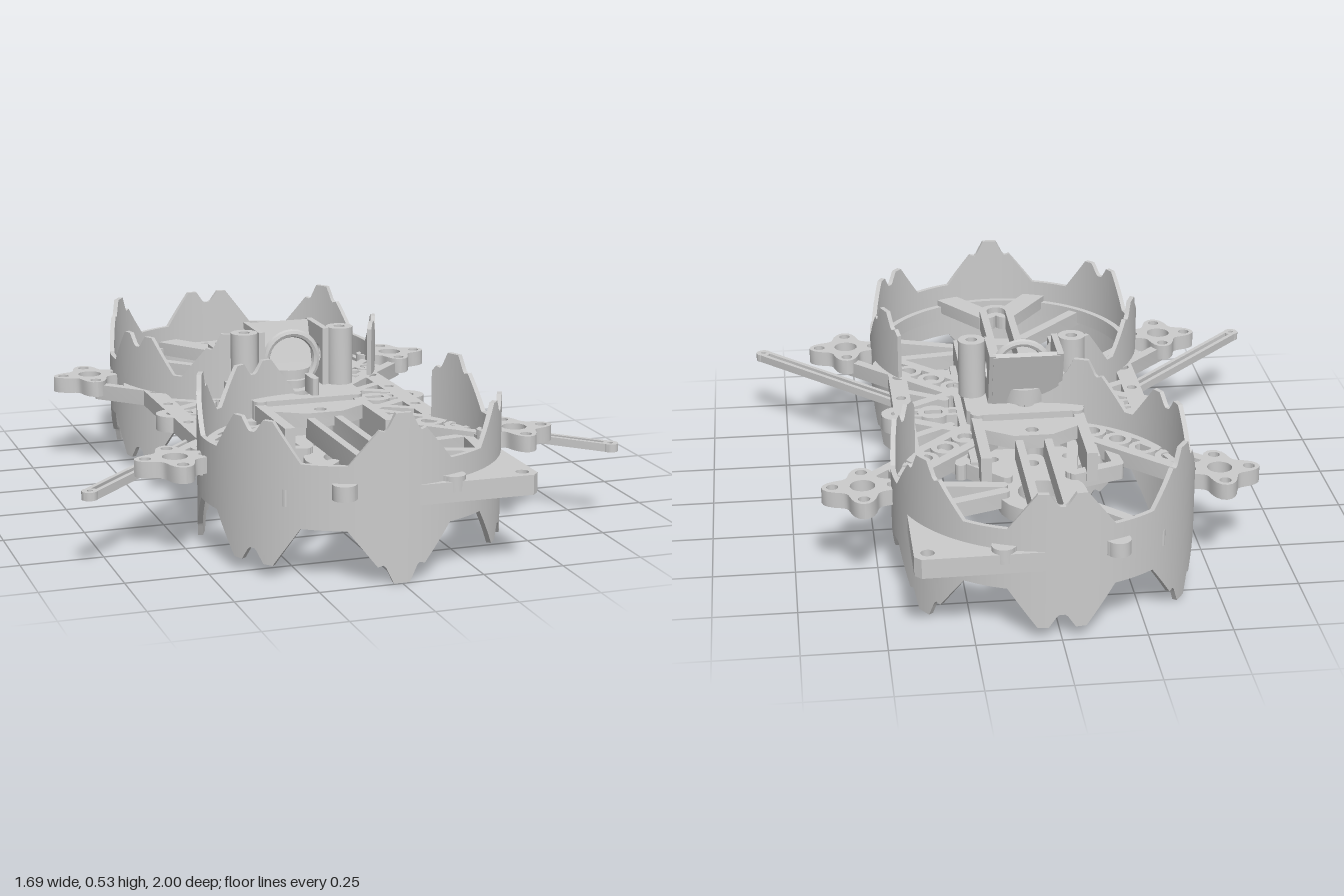
import * as THREE from 'three';
import { toCreasedNormals } from 'three/addons/utils/BufferGeometryUtils.js';

const grey = new THREE.MeshStandardMaterial({ color: 0xcccccc, side: THREE.DoubleSide });
const SIDES = [1, -1];
const RING_Z = 0.54, RING_R = 0.455;

export function createModel() {
  const model = new THREE.Group();

  const add = (name, geo) => {
    const mesh = new THREE.Mesh(toCreasedNormals(geo, 0.6), grey);
    mesh.name = name;
    model.add(mesh);
    return mesh;
  };
  const circlePath = (x, z, r) => new THREE.Path().absarc(x, z, r, 0, Math.PI * 2);
  // Flat plate: the shape lies in (x, z) and fills y0..y1
  const plate = (name, shape, y0, y1, holes = []) => {
    holes.forEach(([x, z, r]) => shape.holes.push(circlePath(x, z, r)));
    const geo = new THREE.ExtrudeGeometry(shape, { depth: y1 - y0, bevelEnabled: false, curveSegments: 10 });
    geo.rotateX(Math.PI / 2);
    geo.translate(0, y1, 0);
    return add(name, geo);
  };
  const poly = (pts) => new THREE.Shape(pts.map(([x, z]) => new THREE.Vector2(x, z)));
  const disc = (name, x, z, r, y0, y1, hole = 0) =>
    plate(name, new THREE.Shape().absarc(x, z, r, 0, Math.PI * 2), y0, y1, hole ? [[x, z, hole]] : []);
  // Round-ended bar between two points, with an optional lengthwise slot
  const capsule = (path, x1, z1, x2, z2, r) => {
    const a = Math.atan2(z2 - z1, x2 - x1);
    path.absarc(x1, z1, r, a + Math.PI / 2, a + Math.PI * 1.5);
    path.absarc(x2, z2, r, a - Math.PI / 2, a + Math.PI / 2);
    path.closePath();
    return path;
  };
  const bar = (name, x1, z1, x2, z2, w, y0, y1, slot = 0) => {
    const shape = capsule(new THREE.Shape(), x1, z1, x2, z2, w / 2);
    if (slot) shape.holes.push(capsule(new THREE.Path(), x1, z1, x2, z2, slot / 2));
    return plate(name, shape, y0, y1);
  };

  // Guard wall: crown points of two kinds, given as [degrees from centre, height]
  const tall = [[0, 1], [3, 1], [6.5, 0.64], [9, 0.68], [20, 0]];
  const twin = [[0, 0.5], [1.5, 0.5], [5, 0.76], [9, 0.76], [20, 0]];
  const height = (profile, d) => {
    for (let i = 1; i < profile.length; i++) {
      const [d0, h0] = profile[i - 1], [d1, h1] = profile[i];
      if (d <= d1) return h0 + (h1 - h0) * (d - d0) / (d1 - d0);
    }
    return 0;
  };
  const spikes = [-157, -113, -57, 0, 57, 113];
  // Sweeps a four-cornered section round part of a ring
  const sweep = (a0, a1, section) => {
    const pos = [], idx = [], n = Math.round(a1 - a0);
    for (let i = 0; i <= n; i++) {
      const deg = a0 + i, t = THREE.MathUtils.degToRad(deg);
      section(deg).forEach(([r, y]) => pos.push(r * Math.sin(t), y, r * Math.cos(t)));
      if (i < n) for (let k = 0; k < 4; k++) {
        const a = i * 4 + k, b = i * 4 + (k + 1) % 4;
        idx.push(a, a + 4, b, b, a + 4, b + 4);
      }
    }
    const e = n * 4;
    idx.push(0, 1, 2, 0, 2, 3, e, e + 2, e + 1, e, e + 3, e + 2);
    const geo = new THREE.BufferGeometry();
    geo.setAttribute('position', new THREE.Float32BufferAttribute(pos, 3));
    geo.setIndex(idx);
    return geo;
  };

  for (const s of SIDES) {
    const end = s > 0 ? 'front' : 'rear';
    const wall = sweep(-180, 124, (deg) => {
      let h = 0;
      spikes.forEach((c, i) => {
        const kind = (i % 2 === 1) === (s > 0) ? tall : twin;
        h = Math.max(h, height(kind, Math.abs(deg - c)));
      });
      const lo = 0.16 - 0.16 * h, hi = 0.35 + 0.15 * h;
      return [[RING_R - 0.015, lo], [RING_R, lo], [RING_R, hi], [RING_R - 0.015, hi]];
    });
    const lip = sweep(-180, 124, () => [[0.42, 0.23], [0.442, 0.23], [0.442, 0.28], [0.42, 0.28]]);
    [[wall, 'GuardWall'], [lip, 'GuardLip']].forEach(([geo, name]) => {
      const mesh = add(end + name, geo);
      mesh.position.z = s * RING_Z;
      mesh.scale.z = s;
    });

    // Corner tab outside the guard
    const tab = [[0.05, 0.995], [0.4, 1], [0.42, 0.98], [0.42, 0.7]];
    for (let d = 70; d >= 10; d -= 6) {
      const t = THREE.MathUtils.degToRad(d);
      tab.push([0.45 * Math.sin(t), RING_Z + 0.45 * Math.cos(t)]);
    }
    plate(end + 'CornerTab', poly(tab.map(([x, z]) => [x, z * s])), 0.225, 0.285, [[0.38, 0.96 * s, 0.02]]);

    // V brace, slotted spine and hub
    for (const m of SIDES) {
      bar(end + 'Brace', m * 0.16, s * 0.955, m * 0.035, s * 0.78, 0.075, 0.255, 0.3);
      disc(end + 'BracePeg', m * 0.165, s * 0.965, 0.035, 0.255, 0.3, 0.012);
    }
    bar(end + 'Spine', 0, s * 0.76, 0, s * 0.32, 0.115, 0.255, 0.32, 0.065);
    disc(end + 'Hub', 0, s * RING_Z, 0.135, 0.2, 0.25, 0.075);
    // Spokes from the hub to the guard
    const spokes = [
      [-0.08, 0.63, -0.3, 0.86], [0.12, 0.56, 0.41, 0.66], [0.12, 0.52, 0.42, 0.48],
      [0.39, 0.65, 0.41, 0.49], [0.1, 0.46, 0.3, 0.25], [-0.11, 0.46, -0.25, 0.41],
      [-0.25, 0.41, -0.23, 0.2], [-0.1, 0.45, -0.14, 0.2], [0.23, 0.36, 0.2, 0.18],
    ];
    spokes.forEach(([x1, z1, x2, z2]) => bar(end + 'Spoke', x1, z1 * s, x2, z2 * s, 0.035, 0.22, 0.27));

    // Inner deck between the raised rails
    const deck = [[-0.18, 0.2], [-0.18, 0.28], [-0.1, 0.35], [-0.06, 0.46], [0.06, 0.46],
      [0.1, 0.35], [0.18, 0.28], [0.18, 0.2], [0.08, 0.14], [-0.08, 0.14]];
    plate(end + 'Deck', poly(deck.map(([x, z]) => [x, z * s])), 0.17, 0.22,
      [[0, s * 0.28, 0.022], [0.12, s * 0.24, 0.02], [-0.12, s * 0.24, 0.02]]);
    plate(end + 'DeckCap', poly([[-0.17, s * 0.2], [0.17, s * 0.2], [0.17, s * 0.25], [0.06, s * 0.32], [-0.06, s * 0.32], [-0.17, s * 0.25]]),
      0.29, 0.335, [[0, s * 0.28, 0.02]]);

    for (const m of SIDES) {
      const X = (x) => x * m, Z = (z) => z * s;
      // Raised rail
      plate('raisedRail', poly([[X(0.145), Z(0.17)], [X(0.178), Z(0.17)], [X(0.178), Z(0.47)], [X(0.145), Z(0.47)]]), 0.24, 0.335);
      plate('railFoot', poly([[X(0.17), Z(0.22)], [X(0.2), Z(0.22)], [X(0.2), Z(0.38)], [X(0.17), Z(0.38)]]), 0.24, 0.28);

      // Four-lobed mount with its twin-bar arm
      const lobes = new THREE.Shape();
      for (let i = 0; i <= 48; i++) {
        const t = (i / 48) * Math.PI * 2;
        const r = 0.071 + 0.052 * Math.pow(Math.abs(Math.cos(2 * t)), 2.2);
        const p = [X(0.54) + r * Math.cos(t), Z(0.54) + r * Math.sin(t)];
        i ? lobes.lineTo(...p) : lobes.moveTo(...p);
      }
      plate('motorMount', lobes, 0.25, 0.3, [[X(0.54), Z(0.54), 0.038],
        ...[[1, 0], [-1, 0], [0, 1], [0, -1]].map(([a, b]) => [X(0.54) + a * 0.09, Z(0.54) + b * 0.09, 0.018])]);
      for (const o of SIDES) {
        const d = o * 0.035;
        bar('armBar', X(0.49 + d), Z(0.49 - d), X(0.14 + d), Z(0.14 - d), 0.032, 0.235, 0.285);
      }
      for (const d of [0.2, 0.27, 0.34, 0.41]) disc('armWeb', X(d), Z(d), 0.045, 0.235, 0.285, 0.026);

      // Side rail half, sloping cheek and cross brace
      plate('sideRail', poly([[X(0.35), 0], [X(0.41), 0], [X(0.41), Z(0.33)], [X(0.38), Z(0.37)], [X(0.33), Z(0.31)], [X(0.35), Z(0.26)]]),
        0.235, 0.285, [[X(0.38), Z(0.12), 0.016], [X(0.375), Z(0.29), 0.022]]);
      bar('crossBrace', X(0.37), Z(0.05), X(0.19), Z(0.16), 0.035, 0.235, 0.285);
      bar('crossBrace', X(0.37), Z(0.18), X(0.24), Z(0.1), 0.03, 0.235, 0.285);
      disc('standoff', X(0.155), Z(0.155), 0.025, 0.2, 0.345, 0.01);
    }
  }

  // Central plates
  const square = (w, d) => poly([[-w, -d + 0.04], [-w + 0.04, -d], [w - 0.04, -d], [w, -d + 0.04],
    [w, d - 0.04], [w - 0.04, d], [-w + 0.04, d], [-w, d - 0.04]]);
  plate('centrePlate', square(0.21, 0.19), 0.23, 0.285, [[0.12, 0.12, 0.03], [-0.12, 0.12, 0.03], [0.12, -0.12, 0.03], [-0.12, -0.12, 0.03]]);
  plate('topPlate', square(0.19, 0.175), 0.3, 0.345, [[0, 0.1, 0.03], [0, -0.1, 0.03]]);
  disc('centreBoss', 0, 0, 0.045, 0.16, 0.37, 0.015);

  for (const m of SIDES) {
    // Side ears and links
    disc('sideEar', m * 0.4, 0, 0.052, 0.235, 0.285, 0.02);
    bar('sideLink', m * 0.2, 0, m * 0.36, 0, 0.06, 0.235, 0.285, 0.028);
    disc('sideBoss', m * 0.285, 0, 0.05, 0.235, 0.285, 0.03);
    // Tall post and the foot under it
    disc('tallPost', m * 0.16, 0, 0.043, 0.345, 0.53, 0.018);
    disc('postFoot', m * 0.16, 0, 0.055, 0.11, 0.235, 0.018);
    // Slotted front leg
    bar('leg', m * 0.82, 0.64, m * 0.33, 0.14, 0.044, 0.225, 0.25, 0.016);
    disc('legTip', m * 0.82, 0.64, 0.024, 0.225, 0.25, 0.01);
    // Slanted cheek of the camera holder
    const cheek = poly([[0.15, 0.53], [-0.02, 0.53], [-0.02, 0.345], [0.09, 0.345]]);
    cheek.holes.push(circlePath(0.03, 0.44, 0.03));
    const geo = new THREE.ExtrudeGeometry(cheek, { depth: 0.02, bevelEnabled: false });
    geo.rotateY(Math.PI / 2);
    geo.translate(m * 0.107 - 0.01, 0, 0);
    add('holderCheek', geo);
  }

  // Camera holder back and round mount
  const back = new THREE.BoxGeometry(0.21, 0.19, 0.02);
  back.rotateX(-0.3);
  back.translate(0, 0.437, -0.112);
  add('holderBack', back);
  const mount = new THREE.CylinderGeometry(0.075, 0.075, 0.05, 28);
  mount.translate(0, 0.375, -0.05);
  add('roundMount', mount);
  const hoop = new THREE.TorusGeometry(0.085, 0.013, 8, 28);
  hoop.translate(0, 0.43, -0.01);
  add('cameraHoop', hoop);
  bar('antennaStub', 0.03, 0.08, 0.03, 0.14, 0.025, 0.345, 0.4);

  return model;
}
